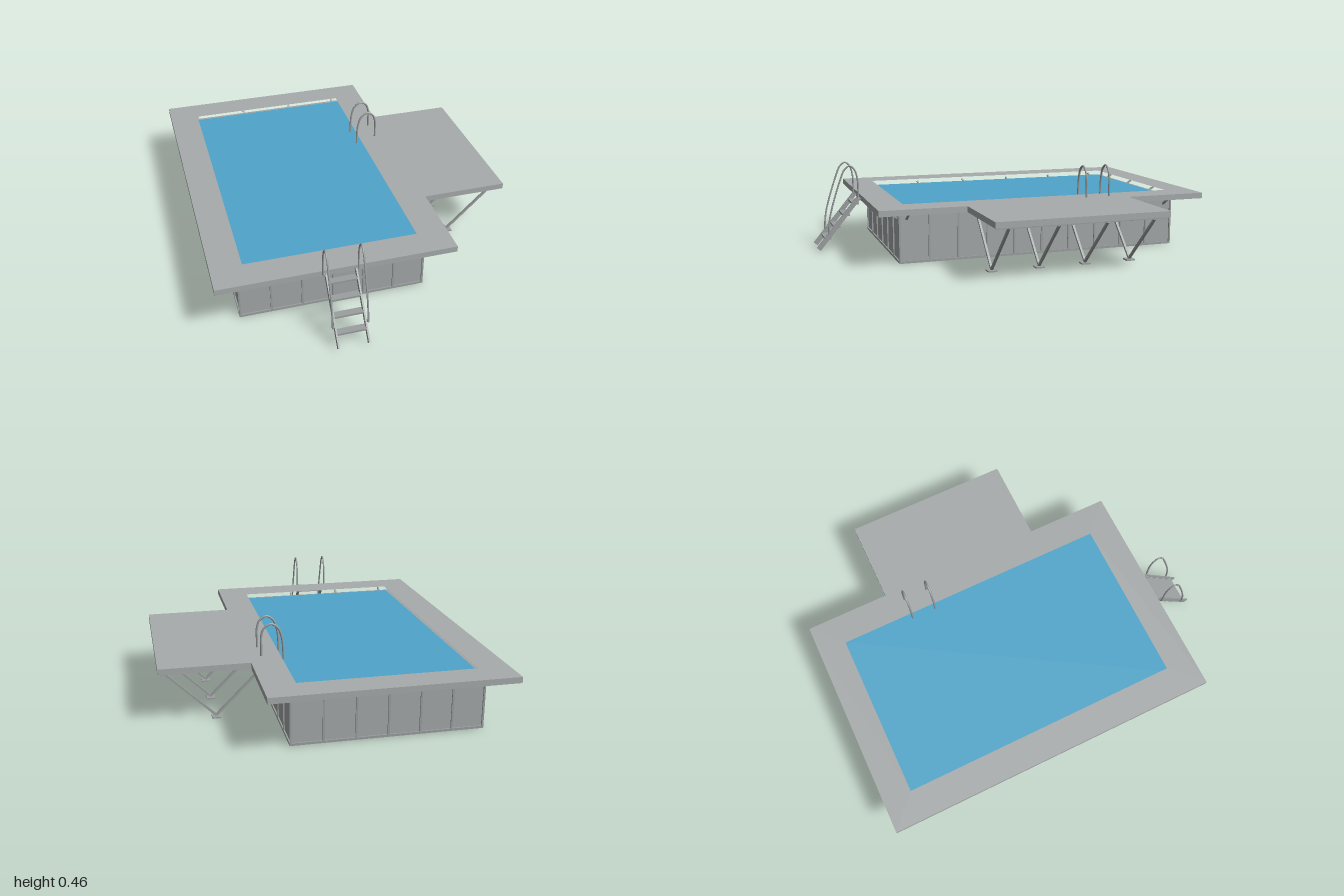
import * as THREE from 'three';

const mat = (name, color) => {
  const m = new THREE.MeshStandardMaterial({ color });
  m.name = name;
  return m;
};

export function createModel() {
  const deckGrey = mat('deck grey', 0xa7abab);
  const panelGrey = mat('panel grey', 0xa4a8a8);
  const metal = mat('metal grey', 0x9b9f9f);
  const waterBlue = mat('water blue', 0x4fa5cb);
  const floorBlue = mat('floor blue', 0x2c639a);

  const root = new THREE.Group();
  root.name = 'swimmingPool';
  const group = (name) => {
    const g = new THREE.Group();
    g.name = name;
    root.add(g);
    return g;
  };
  const add = (parent, name, geo, material) => {
    const m = new THREE.Mesh(geo, material);
    m.name = name;
    parent.add(m);
    return m;
  };
  // Box given by its lower and upper corners
  const box = (parent, name, material, x0, y0, z0, x1, y1, z1) => {
    const m = add(parent, name, new THREE.BoxGeometry(x1 - x0, y1 - y0, z1 - z0), material);
    m.position.set((x0 + x1) / 2, (y0 + y1) / 2, (z0 + z1) / 2);
    return m;
  };
  // Square bar between two points
  const bar = (parent, name, a, b, w, h = w) => {
    const p = new THREE.Vector3(...a), q = new THREE.Vector3(...b);
    const m = add(parent, name, new THREE.BoxGeometry(w, h, p.distanceTo(q)), metal);
    m.position.copy(p).add(q).multiplyScalar(0.5);
    m.lookAt(q);
    return m;
  };
  const tube = (parent, name, pts, r) => {
    const curve = new THREE.CatmullRomCurve3(pts.map((p) => new THREE.Vector3(...p)));
    return add(parent, name, new THREE.TubeGeometry(curve, 40, r, 8), metal);
  };
  // Horizontal slab from an outline and a rectangular hole, both in x and z
  const slab = (parent, name, material, outline, [hx0, hz0, hx1, hz1], y0, y1) => {
    const v = (pts) => pts.map(([x, z]) => new THREE.Vector2(x, -z));
    const s = new THREE.Shape(v(outline));
    s.holes.push(new THREE.Path(v([[hx0, hz0], [hx1, hz0], [hx1, hz1], [hx0, hz1]])));
    const geo = new THREE.ExtrudeGeometry(s, { depth: y1 - y0, bevelEnabled: false });
    geo.rotateX(-Math.PI / 2).translate(0, y0, 0);
    return add(parent, name, geo, material);
  };
  const rect = (x0, z0, x1, z1) => [[x0, z0], [x1, z0], [x1, z1], [x0, z1]];

  const X0 = -0.69, X1 = 0.245, Z0 = -0.88, Z1 = 0.64, TOP = 0.265;

  // Deck with side platform
  slab(root, 'deck', deckGrey, [
    [-0.81, -1], [0.365, -1], [0.365, -0.56], [0.805, -0.56],
    [0.805, 0.32], [0.365, 0.32], [0.365, 0.76], [-0.81, 0.76],
  ], [-0.655, -0.855, 0.21, 0.61], TOP, 0.295);

  // Basin
  const basin = group('basin');
  const t = 0.007;
  const inner = [X0 + 0.02, Z0 + 0.02, X1 - 0.02, Z1 - 0.02];
  slab(basin, 'wall', panelGrey, rect(X0 + t, Z0 + t, X1 - t, Z1 - t), inner, 0.006, TOP);
  slab(basin, 'bottomRail', metal, rect(X0, Z0, X1, Z1), inner, 0, 0.012);
  slab(basin, 'topRail', metal, rect(X0, Z0, X1, Z1), inner, TOP - 0.008, TOP);
  box(basin, 'floor', floorBlue, inner[0], 0.002, inner[1], inner[2], 0.01, inner[3]);
  box(basin, 'water', waterBlue, inner[0], 0.26, inner[1], inner[2], 0.268, inner[3]);

  // Upright posts between wall panels
  const w = 0.009;
  for (let i = 0; i <= 6; i++) {
    const x = X0 + (X1 - X0 - w) * i / 6;
    box(basin, 'post', metal, x, 0.01, Z1 - t - 0.002, x + w, TOP, Z1);
    box(basin, 'post', metal, x, 0.01, Z0, x + w, TOP, Z0 + t + 0.002);
  }
  for (let i = 0; i <= 10; i++) {
    const z = Z0 + (Z1 - Z0 - w) * i / 10;
    box(basin, 'post', metal, X0, 0.01, z, X0 + t + 0.002, TOP, z + w);
    box(basin, 'post', metal, X1 - t - 0.002, 0.01, z, X1, TOP, z + w);
  }

  // Slanted braces under the deck overhang
  const braces = group('deckBraces');
  for (const x of [-0.645, -0.365, -0.08, 0.2]) {
    bar(braces, 'brace', [x, 0.225, Z1 - 0.002], [x, 0.267, Z1 + 0.065], 0.009);
    bar(braces, 'brace', [x, 0.225, Z0 + 0.002], [x, 0.267, Z0 - 0.065], 0.009);
  }
  for (const z of [0.6, 0.314, 0.028, -0.258, -0.544, -0.83]) {
    bar(braces, 'brace', [X0 + 0.002, 0.225, z], [X0 - 0.065, 0.267, z], 0.009);
    if (z > 0.32 || z < -0.56) {
      bar(braces, 'brace', [X1 - 0.002, 0.225, z], [X1 + 0.065, 0.267, z], 0.009);
    }
  }

  // Platform joists and V-shaped supports
  const supports = group('platformSupports');
  for (let i = 0; i < 7; i++) {
    const z = 0.25 - i * 0.1225;
    box(supports, 'joist', metal, X1, 0.257, z - 0.006, 0.795, 0.267, z + 0.006);
    if (i % 2) continue;
    bar(supports, 'supportLeg', [0.28, 0.258, z], [0.53, 0.01, z], 0.011);
    bar(supports, 'supportLeg', [0.785, 0.258, z], [0.53, 0.01, z], 0.011);
    box(supports, 'footPlate', metal, 0.508, 0, z - 0.023, 0.552, 0.007, z + 0.023);
  }
  for (const x of [0.285, 0.785]) {
    box(supports, 'crossBeam', metal, x - 0.006, 0.257, -0.55, x + 0.006, 0.267, 0.31);
  }

  // Outside ladder
  const ladder = group('ladder');
  for (const x of [-0.295, -0.148]) {
    bar(ladder, 'ladderSide', [x, 0.285, 0.77], [x, 0.016, 0.99], 0.008, 0.025);
  }
  for (let i = 0; i < 4; i++) {
    const z = 0.79 + i * 0.05, y = 0.25 - i * 0.06;
    box(ladder, 'tread', metal, -0.295, y - 0.005, z - 0.018, -0.148, y + 0.005, z + 0.018);
  }
  for (const [x, s] of [[-0.308, 1], [-0.137, -1]]) {
    tube(ladder, 'ladderHandrail', [
      [x, 0.285, 0.776], [x, 0.385, 0.778], [x, 0.435, 0.793], [x, 0.455, 0.818],
      [x, 0.435, 0.845], [x, 0.385, 0.867], [x, 0.24, 0.914], [x, 0.17, 0.93], [x, 0.095, 0.937],
    ], 0.0045);
    bar(ladder, 'railMount', [x, 0.1, 0.935], [x + s * 0.016, 0.1, 0.925], 0.008);
    bar(ladder, 'railMount', [x, 0.285, 0.776], [x + s * 0.016, 0.28, 0.776], 0.01);
  }

  // Grab rails over the pool edge
  const rails = group('grabRails');
  for (const z of [-0.475, -0.345]) {
    tube(rails, 'grabRail', [
      [0.193, 0.255, z], [0.194, 0.32, z], [0.2, 0.38, z], [0.218, 0.43, z], [0.252, 0.453, z],
      [0.287, 0.435, z], [0.302, 0.39, z], [0.302, 0.34, z], [0.302, 0.29, z],
    ], 0.0055);
  }

  return root;
}
